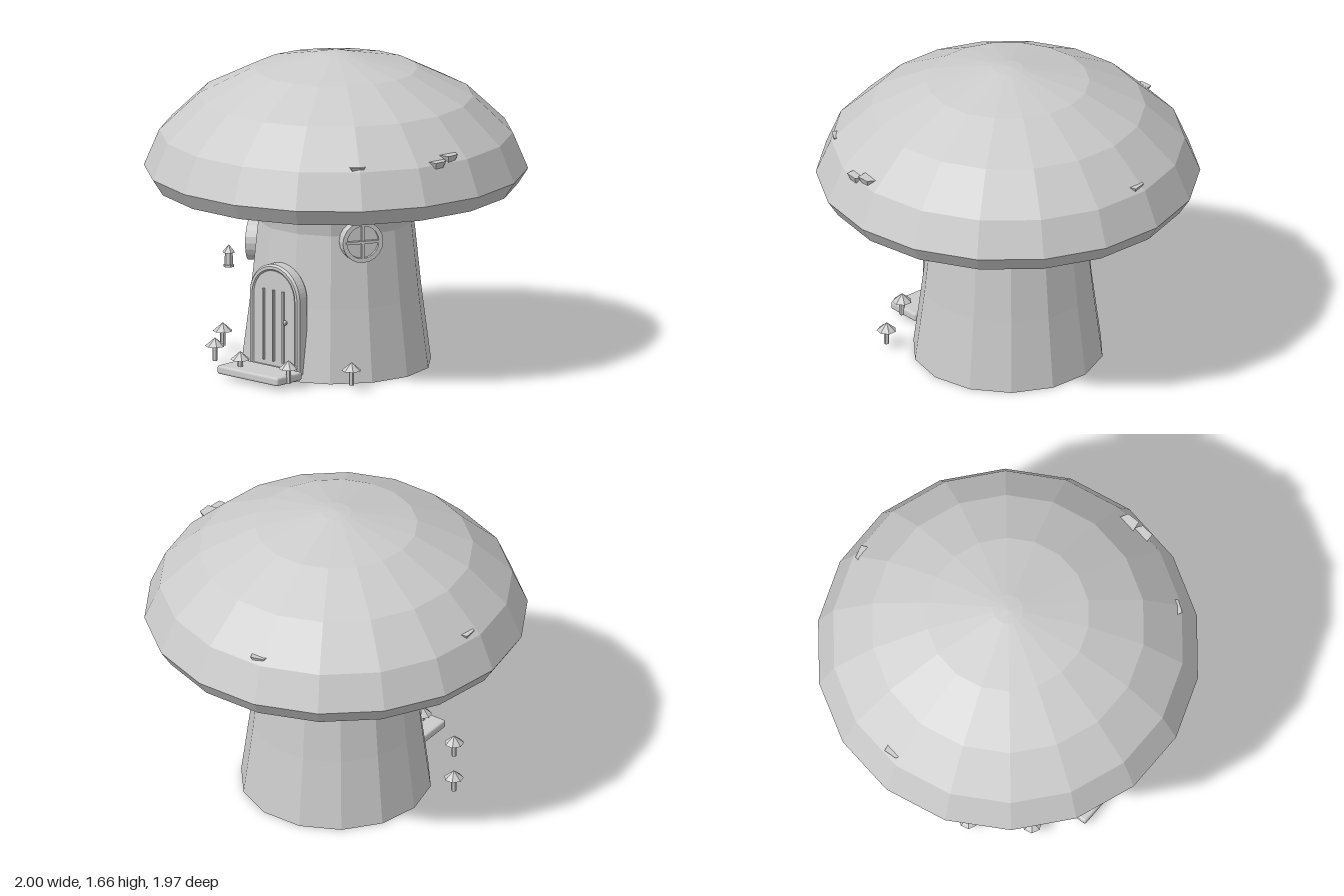
import * as THREE from 'three';
import { RoundedBoxGeometry } from 'three/addons/geometries/RoundedBoxGeometry.js';

const flat = new THREE.MeshStandardMaterial({ color: 0xcccccc, flatShading: true });

function add(parent, name, geometry, x = 0, y = 0, z = 0) {
  const mesh = new THREE.Mesh(geometry, flat);
  mesh.name = name;
  mesh.position.set(x, y, z);
  parent.add(mesh);
  return mesh;
}

function group(parent, name, x, y, z) {
  const g = new THREE.Group();
  g.name = name;
  g.position.set(x, y, z);
  parent.add(g);
  return g;
}

// Faceted turned body with a corner on the x axis
function turned(points, sides) {
  return new THREE.LatheGeometry(points.map(p => new THREE.Vector2(...p)), sides).rotateY(Math.PI / 2);
}

// Round-topped doorway outline
function arch(PathType, half, bottom, spring) {
  const s = new PathType();
  s.moveTo(-half, bottom);
  s.lineTo(half, bottom);
  s.lineTo(half, spring);
  s.absarc(0, spring, half, 0, Math.PI, false);
  s.lineTo(-half, bottom);
  return s;
}

function addDoor(root) {
  const door = group(root, 'door', 0, 0, 0);
  const frame = arch(THREE.Shape, 0.165, 0.05, 0.43);
  frame.holes.push(arch(THREE.Path, 0.15, 0.06, 0.43));
  add(door, 'doorFrame', new THREE.ExtrudeGeometry(frame, {
    depth: 0.055, bevelEnabled: true, bevelThickness: 0.012, bevelSize: 0.01, bevelSegments: 1, curveSegments: 12,
  }), 0, 0, 0.418);
  add(door, 'doorPanel', new THREE.ExtrudeGeometry(arch(THREE.Shape, 0.142, 0.06, 0.43), {
    depth: 0.06, bevelEnabled: false, curveSegments: 12,
  }), 0, 0, 0.42);
  for (const x of [-0.067, 0, 0.067]) {
    add(door, 'doorSlat', new THREE.BoxGeometry(0.01, 0.38, 0.02), x, 0.28, 0.482);
  }
  add(door, 'doorKnob', new THREE.SphereGeometry(0.013, 8, 6), 0.087, 0.31, 0.492);
}

// Round window facing outward; angle is measured from the front
function addWindow(root, name, angle, y) {
  const w = group(root, name, Math.sin(angle) * 0.45, y, Math.cos(angle) * 0.45);
  w.rotation.y = angle;
  const ring = new THREE.Shape().absarc(0, 0, 0.11, 0, Math.PI * 2);
  ring.holes.push(new THREE.Path().absarc(0, 0, 0.087, 0, Math.PI * 2));
  add(w, 'windowFrame', new THREE.ExtrudeGeometry(ring, { depth: 0.065, bevelEnabled: false, curveSegments: 10 }), 0, 0, -0.055);
  add(w, 'windowPane', new THREE.CylinderGeometry(0.09, 0.09, 0.045, 20).rotateX(Math.PI / 2), 0, 0, -0.03);
  add(w, 'windowBarUpright', new THREE.BoxGeometry(0.014, 0.175, 0.02), 0, 0, 0);
  add(w, 'windowBarLevel', new THREE.BoxGeometry(0.185, 0.014, 0.02), 0, 0, 0.005);
}

function addToadstool(root, x, z) {
  const t = group(root, 'toadstool', x, 0, z);
  add(t, 'toadstoolStalk', new THREE.CylinderGeometry(0.014, 0.014, 0.085, 6), 0, 0.07, 0);
  add(t, 'toadstoolCap', new THREE.ConeGeometry(0.052, 0.045, 7), 0, 0.128, 0);
}

export function createModel() {
  const root = new THREE.Group();
  root.name = 'mushroomHouse';

  // Main body
  add(root, 'stem', turned([[0, 0], [0.5, 0], [0.45, 0.385], [0.41, 0.77], [0.445, 0.97], [0, 0.97]], 14));
  add(root, 'cap', turned([
    [0, 0.96], [0.945, 0.96], [1, 1.045], [0.92, 1.235], [0.715, 1.43], [0.425, 1.575], [0.08, 1.652], [0, 1.66],
  ], 18));

  // Chips poking out of the cap: [x, y, z]
  const chips = [[0.66, 1.24, 0.56], [0.868, 1.235, 0.18], [0.868, 1.255, 0.09], [-0.855, 1.25, -0.05], [-0.13, 1.25, -0.85]];
  for (const [x, y, z] of chips) {
    const chip = add(root, 'capChip', new THREE.CylinderGeometry(0.065, 0.045, 0.035, 5), x, y, z);
    chip.rotation.y = Math.atan2(x, z) + Math.PI / 5;
    chip.scale.set(1, 1, 0.8);
  }

  addDoor(root);
  add(root, 'doorStep', new RoundedBoxGeometry(0.425, 0.045, 0.195, 2, 0.012), 0, 0.047, 0.592);
  addWindow(root, 'leftWindow', Math.PI / 3, 0.745);
  addWindow(root, 'rightWindow', -Math.PI / 3, 0.635);

  // Hanging lantern
  const lantern = group(root, 'lantern', -0.245, 0, 0.56);
  add(lantern, 'lanternBase', new THREE.CylinderGeometry(0.028, 0.028, 0.012, 6), 0, 0.576, 0);
  add(lantern, 'lanternBody', new THREE.CylinderGeometry(0.02, 0.024, 0.07, 6), 0, 0.615, 0);
  add(lantern, 'lanternRoof', new THREE.ConeGeometry(0.034, 0.042, 6), 0, 0.668, 0);

  // Toadstools around the front
  for (const [x, z] of [[-0.595, 0.22], [-0.405, 0.49], [-0.11, 0.62], [0.21, 0.6], [0.48, 0.41]]) addToadstool(root, x, z);

  return root;
}
